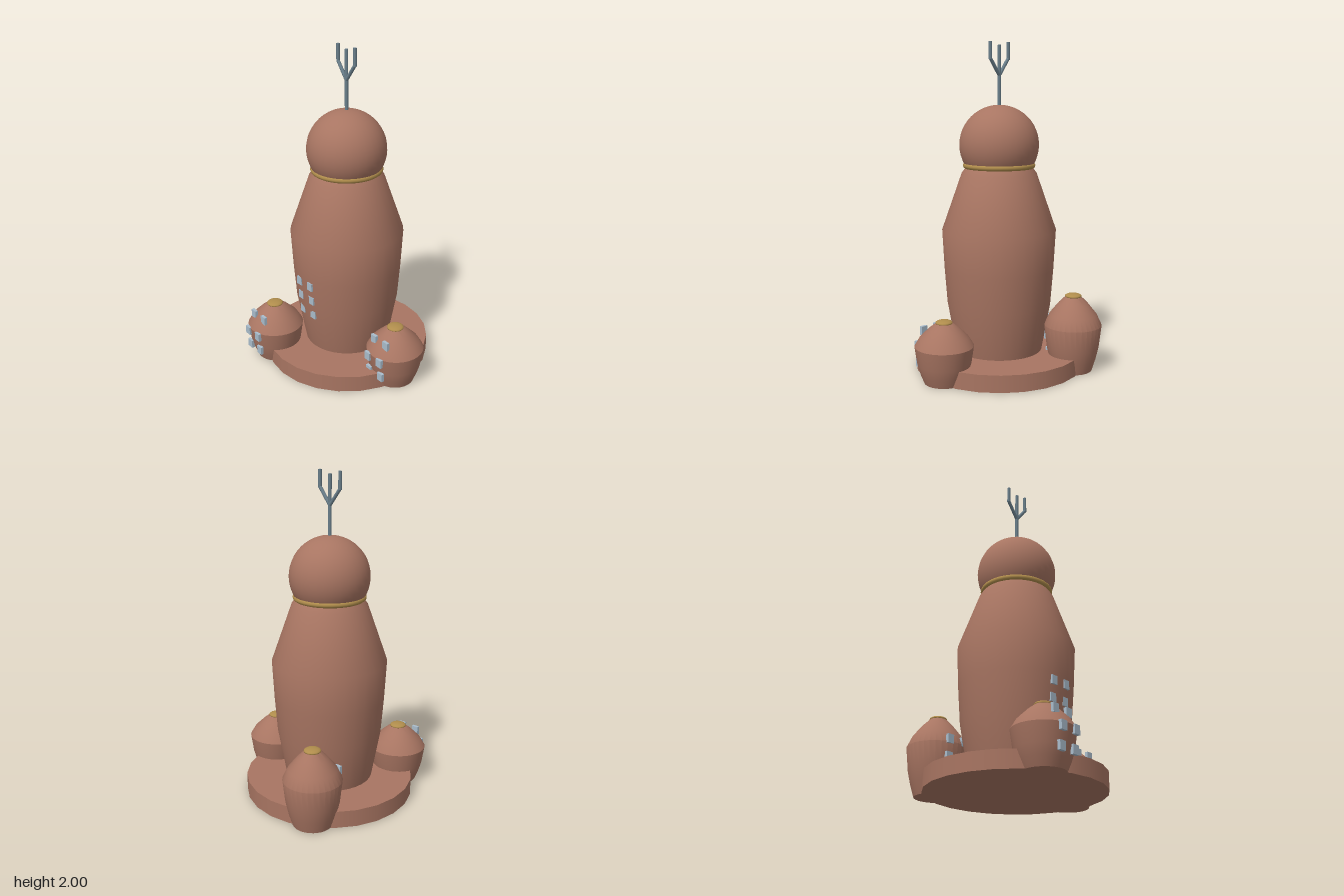
import * as THREE from 'three';
import { toCreasedNormals } from 'three/addons/utils/BufferGeometryUtils.js';

const mat = (name, color) => new THREE.MeshStandardMaterial({ name, color });

export function createModel() {
  const clay = mat('clay', 0xa87562);
  const gold = mat('gold', 0xb08d4c);
  const glass = mat('window glass', 0xa9bccb);
  const steel = mat('steel', 0x6b808c);

  const model = new THREE.Group();
  model.name = 'tower';
  const site = new THREE.Group();
  site.name = 'site';
  site.position.set(-0.063, 0, -0.004);
  model.add(site);

  const add = (parent, name, geometry, material, x = 0, y = 0, z = 0) => {
    const mesh = new THREE.Mesh(geometry, material);
    mesh.name = name;
    mesh.position.set(x, y, z);
    parent.add(mesh);
    return mesh;
  };
  const lathe = (points, segments) => toCreasedNormals(
    new THREE.LatheGeometry(points.map(([r, y]) => new THREE.Vector2(r, y)), segments), 0.55);

  // A pair of windows for each row, given as [height, distance forward]
  const pane = new THREE.BoxGeometry(0.044, 0.052, 0.019);
  const addWindows = (parent, rows) => {
    for (const [y, z] of rows)
      for (const side of [-1, 1]) add(parent, 'window', pane, glass, side * 0.052, y, z);
  };

  // Round plinth
  add(site, 'plinth', new THREE.CylinderGeometry(0.521, 0.521, 0.104, 24), clay, 0, 0.052);

  // Main tower body
  add(site, 'towerBody', lathe([[0, 0.02], [0.245, 0.02], [0.268, 0.1], [0.322, 0.4], [0.339, 0.62],
    [0.352, 0.86], [0.23, 1.21], [0.205, 1.245], [0, 1.245]], 32), clay);
  addWindows(site, [[0.373, 0.307], [0.476, 0.318], [0.577, 0.329]]);

  // Collar ring and round head
  const collar = add(site, 'collar', new THREE.TorusGeometry(0.204, 0.018, 10, 32), gold, 0, 1.257);
  collar.rotation.x = Math.PI / 2;
  add(site, 'dome', new THREE.SphereGeometry(0.243, 32, 24), clay, 0, 1.381);

  // Three-pronged antenna
  const antenna = new THREE.Group();
  antenna.name = 'antenna';
  site.add(antenna);
  const rod = (name, x1, y1, x2, y2) => {
    const length = Math.hypot(x2 - x1, y2 - y1);
    const mesh = add(antenna, name, new THREE.CylinderGeometry(0.0105, 0.0105, length, 8), steel,
      (x1 + x2) / 2, (y1 + y2) / 2);
    mesh.rotation.z = -Math.atan2(x2 - x1, y2 - y1);
  };
  rod('mast', 0, 1.6, 0, 1.98);
  for (const side of [-1, 1]) {
    rod('prongArm', 0, 1.8, side * 0.077, 1.9);
    rod('prongTip', side * 0.077, 1.893, side * 0.077, 2);
  }

  // Three pods around the tower; the rear one is taller
  const podProfile = [[0, 0], [0.12, 0], [0.142, 0.055], [0.16, 0.115], [0.176, 0.222],
    [0.145, 0.274], [0.09, 0.327], [0.05, 0.358], [0, 0.364]];
  const pods = [
    { name: 'sidePod', angle: 0, stretch: 1, rows: [[0.098, 0.147], [0.201, 0.166], [0.302, 0.12]] },
    { name: 'frontPod', angle: 120, stretch: 1, rows: [[0.098, 0.16], [0.201, 0.172], [0.302, 0.122]] },
    { name: 'rearPod', angle: 240, stretch: 1.286, rows: [[0.098, 0.147], [0.201, 0.158], [0.302, 0.164]] },
  ];
  pods[0].rows = pods[1].rows;
  for (const { name, angle, stretch, rows } of pods) {
    const pod = new THREE.Group();
    pod.name = name;
    const a = THREE.MathUtils.degToRad(angle);
    pod.position.set(0.468 * Math.cos(a), 0, 0.468 * Math.sin(a));
    site.add(pod);
    add(pod, 'podShell', lathe(podProfile.map(([r, y]) => [r, y * stretch]), 32), clay);
    const cap = add(pod, 'podCap', new THREE.SphereGeometry(0.051, 20, 12), gold, 0, 0.362 * stretch);
    cap.scale.y = 0.32;
    addWindows(pod, rows);
  }
  return model;
}
